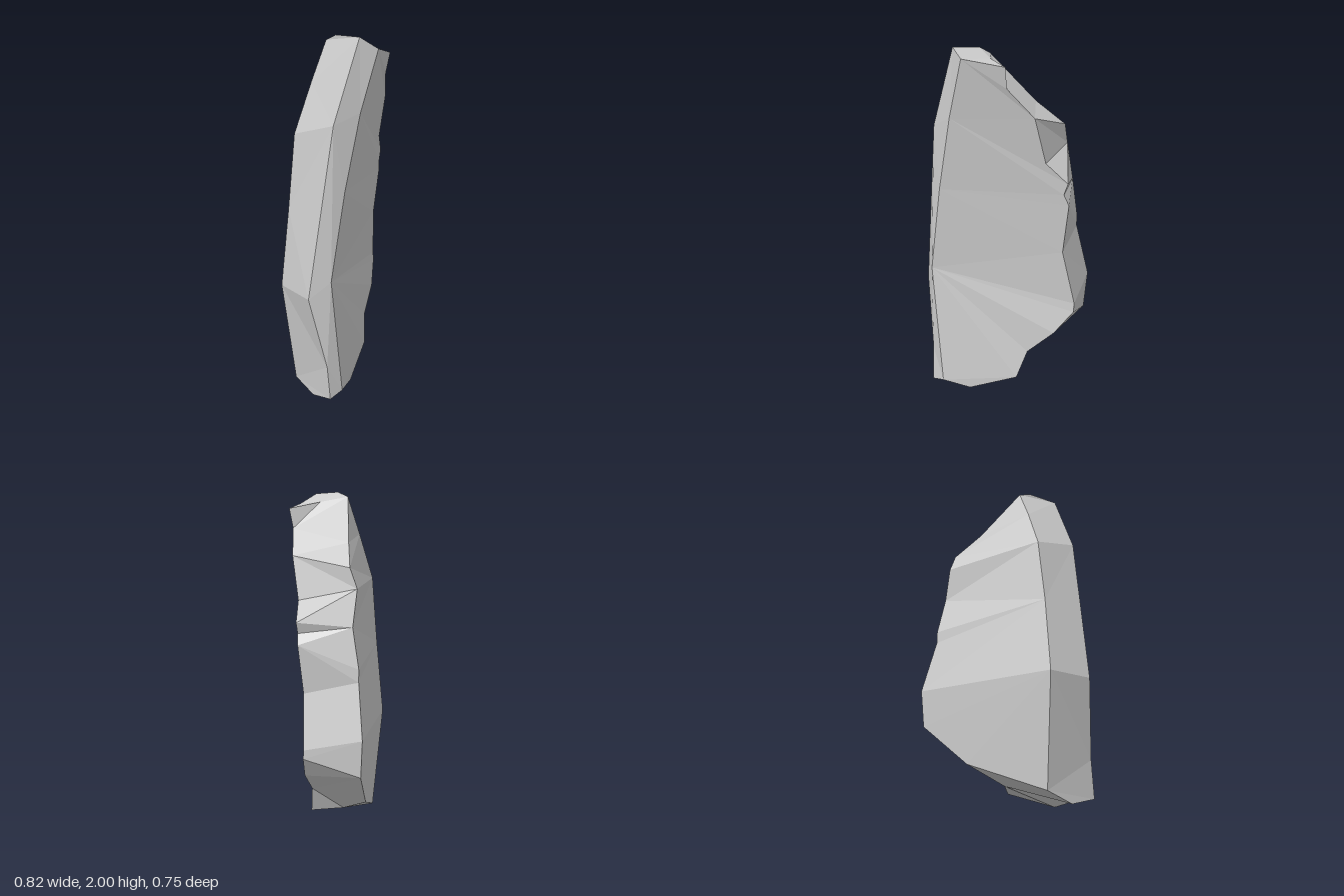
import * as THREE from 'three';

// Edge lines of the broken slab, each running from top to bottom
const frontLeft = [[0, 1.94, 0.375], [-0.11, 1.63, 0.37], [-0.21, 1.23, 0.37], [-0.3, 0.75, 0.37], [-0.22, 0.06, 0.37]];
const rimFront = [[-0.1, 2, 0.345], [-0.27, 1.58, 0.35], [-0.41, 0.66, 0.315], [-0.32, 0.24, 0.36], [-0.31, 0.04, 0.375]];
const rimBack = [[-0.1, 2, 0.16], [-0.1, 1.97, 0.08], [-0.2, 1.76, 0.08], [-0.31, 1.5, 0.075], [-0.36, 1.1, 0.08],
  [-0.41, 0.66, 0.07], [-0.33, 0.05, 0.08], [-0.32, 0, 0.23]];
const breakFront = [[0.2, 1.9, 0.25], [0.19, 1.79, 0.23], [0.29, 1.64, 0.125], [0.31, 1.4, 0.06], [0.4, 1.29, -0.02],
  [0.38, 1.23, -0.01], [0.4, 1.17, -0.03], [0.36, 0.9, -0.03], [0.41, 0.6, -0.08], [0.41, 0.55, -0.075],
  [0.33, 0.42, 0], [0.2, 0.29, 0.08], [0.16, 0.13, 0.13], [-0.08, 0.03, 0.28]];
const breakBack = [[0.08, 1.71, -0.1], [0.195, 1.58, -0.22], [0.18, 1.47, -0.26], [0.22, 1.27, -0.265], [0.22, 1.05, -0.31],
  [0.22, 0.98, -0.31], [0.26, 0.68, -0.375], [0.25, 0.47, -0.355], [0.03, 0.23, -0.19]];
const topNotch = [0.02, 1.94, 0.185];
const bottomNotch = [0, 0.13, 0.02];

// Joins two lines (left and right as seen from outside), always stepping to the higher next point
function strip(left, right) {
  const out = [];
  let i = 0, j = 0;
  while (i < left.length - 1 || j < right.length - 1) {
    const a = i < left.length - 1 ? left[i + 1][1] : -Infinity;
    const b = j < right.length - 1 ? right[j + 1][1] : -Infinity;
    if (a > b) out.push(left[i], left[++i], right[j]);
    else out.push(left[i], right[j + 1], right[j++]);
  }
  return out;
}

// Closes a cap around one centre point
function fan(center, ring) {
  const out = [];
  for (let i = 0; i < ring.length - 1; i++) out.push(center, ring[i], ring[i + 1]);
  return out;
}

export function createModel() {
  const backTop = rimBack[1], backBottom = rimBack[6], tip = rimBack[7];
  const corners = [
    // broad front face
    ...strip(frontLeft, breakFront),
    // chamfer and outer rim
    ...strip(rimFront, frontLeft),
    ...strip(rimBack, rimFront),
    // broad back face
    ...strip(breakBack, rimBack.slice(1, -1)),
    // jagged broken side
    ...strip([topNotch, ...breakFront.slice(1, -1)], [backTop, ...breakBack, bottomNotch]),
    // top and bottom ends
    ...fan(topNotch, [backTop, rimBack[0], rimFront[0], frontLeft[0], breakFront[0], breakFront[1]]),
    ...fan(bottomNotch, [breakFront[12], breakFront[13], frontLeft[4], rimFront[4], tip, backBottom, breakBack[8]]),
  ];
  const geometry = new THREE.BufferGeometry();
  geometry.setAttribute('position', new THREE.Float32BufferAttribute(corners.flat(), 3));
  geometry.computeVertexNormals();

  const shard = new THREE.Mesh(geometry, new THREE.MeshStandardMaterial({ color: 0xcccccc, flatShading: true }));
  shard.name = 'stoneShard';
  const group = new THREE.Group();
  group.name = 'brokenStoneSlab';
  group.add(shard);
  return group;
}
